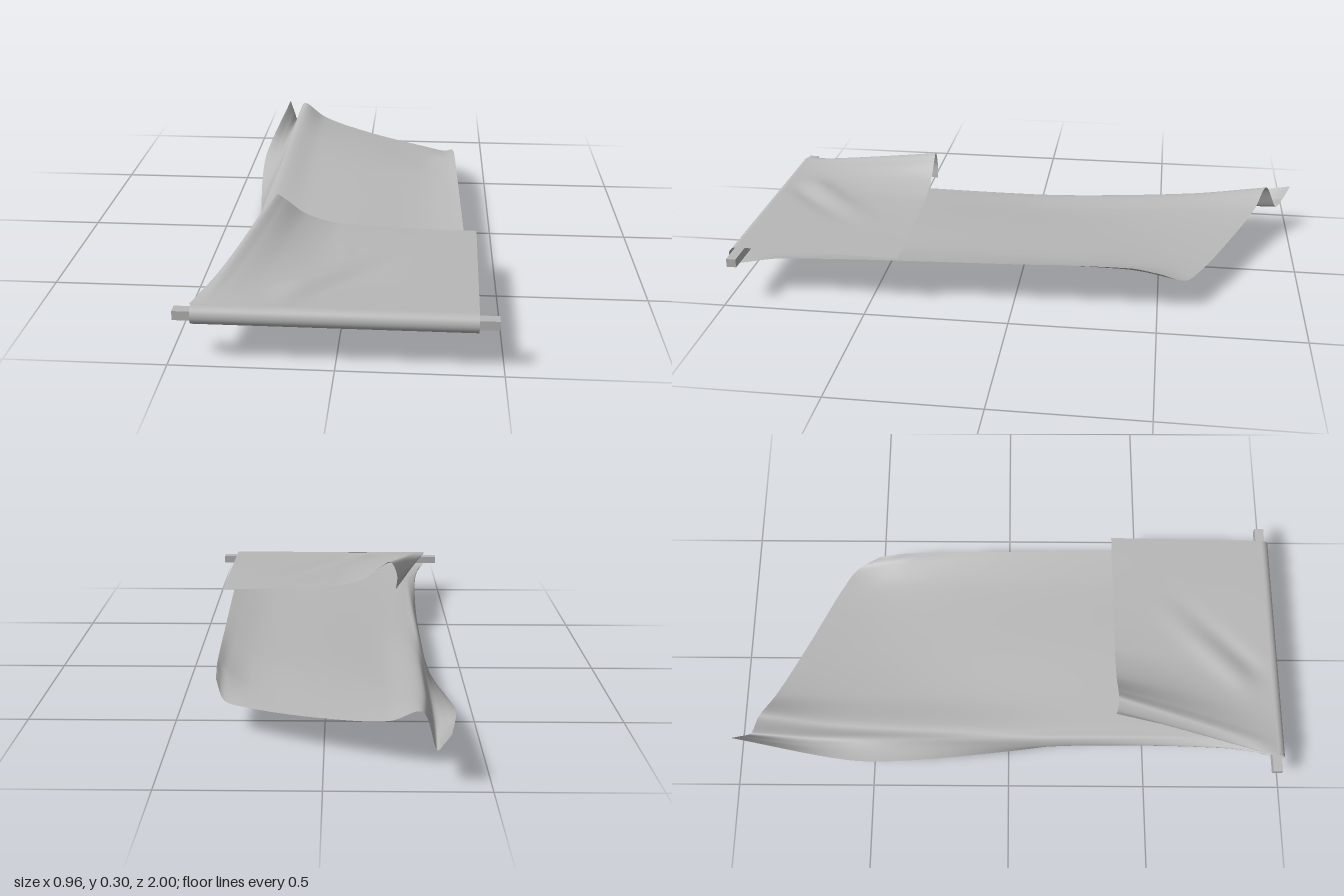
import * as THREE from 'three';

const cloth = new THREE.MeshStandardMaterial({ color: 0xb8b8b8, side: THREE.DoubleSide });
cloth.name = 'plainGrey';

// Smooth interpolation of [z, x, y] keys (z decreasing) at a given z
function sample(keys, z) {
  const n = keys.length;
  let i = 0;
  while (i < n - 2 && z < keys[i + 1][0]) i++;
  const a = keys[i], b = keys[i + 1], h = b[0] - a[0], t = (z - a[0]) / h;
  const slope = (j, c) => {
    const p = keys[Math.max(j - 1, 0)], q = keys[Math.min(j + 1, n - 1)];
    return (q[c] - p[c]) / (q[0] - p[0]);
  };
  const value = (c) => {
    const t2 = t * t, t3 = t2 * t;
    return (2 * t3 - 3 * t2 + 1) * a[c] + (t3 - 2 * t2 + t) * h * slope(i, c)
      + (3 * t2 - 2 * t3) * b[c] + (t3 - t2) * h * slope(i + 1, c);
  };
  return new THREE.Vector3(value(1), value(2), z);
}

// Sheet lofted across lengthwise columns, listed from the +x edge to the -x edge.
// Every column starts at the bar as [x, y] and continues with [z, x, y] keys.
function clothSheet(name, startY, columns, along, across, wrinkle) {
  const pos = [], index = [];
  const keyed = columns.map(([startX, ...keys]) => [[0.965, startX, startY], ...keys]);
  for (let i = 0; i <= along; i++) {
    const row = keyed.map((k) => sample(k, THREE.MathUtils.lerp(0.965, k[k.length - 1][0], i / along)));
    const curve = new THREE.CatmullRomCurve3(row, false, 'centripetal');
    for (let j = 0; j <= across; j++) {
      const p = curve.getPoint(j / across);
      pos.push(p.x, p.y + wrinkle(p.x, p.z), p.z);
      if (i < along && j < across) {
        const a = i * (across + 1) + j, b = a + across + 1;
        index.push(a, b, a + 1, b, b + 1, a + 1);
      }
    }
  }
  const g = new THREE.BufferGeometry();
  g.setAttribute('position', new THREE.Float32BufferAttribute(pos, 3));
  g.setIndex(index);
  g.computeVertexNormals();
  const mesh = new THREE.Mesh(g, cloth);
  mesh.name = name;
  return mesh;
}

export function createModel() {
  const group = new THREE.Group();
  group.name = 'clothOverBar';

  // Square bar
  const bar = new THREE.Mesh(new THREE.BoxGeometry(0.96, 0.03, 0.034), cloth);
  bar.name = 'bar';
  bar.position.set(0, 0.157, 0.965);
  group.add(bar);

  // Long lower sheet: slanted far end, left margin rolling from tucked under to flared up
  group.add(clothSheet('longSheet', 0.127, [
    [0.42, [0.8, 0.405, 0.148], [0, 0.38, 0.164], [-0.4, 0.368, 0.168], [-0.5, 0.362, 0.15]],
    [0.36, [0.4, 0.33, 0.145], [-0.4, 0.33, 0.145], [-0.59, 0.325, 0.11]],
    [0.25, [-0.2, 0.25, 0.135], [-0.64, 0.25, 0.108]],
    [0, [-0.2, 0, 0.125], [-0.76, 0, 0.125]],
    [-0.22, [0.4, -0.2, 0.117], [-0.2, -0.2, 0.117], [-0.855, -0.2, 0.16]],
    [-0.34, [0.4, -0.315, 0.113], [0, -0.32, 0.114], [-0.6, -0.318, 0.155], [-0.9, -0.295, 0.208]],
    [-0.39, [0.7, -0.35, 0.115], [0, -0.348, 0.102], [-0.7, -0.347, 0.1], [-0.95, -0.335, 0.11]],
    [-0.41, [0.8, -0.38, 0.108], [0.4, -0.361, 0.07], [0, -0.363, 0.055], [-0.7, -0.377, 0.1], [-0.975, -0.353, 0.142]],
    [-0.42, [0.8, -0.355, 0.09], [0.6, -0.32, 0.055], [0.4, -0.32, 0.026], [0, -0.368, 0],
      [-0.4, -0.418, 0.045], [-0.6, -0.425, 0.085], [-1, -0.372, 0.185]],
  ], 80, 84, () => 0));

  // Soft wrinkle running diagonally across the flap, strongest near the bar
  const wrinkle = (x, z) => {
    const s = (x + 0.18 + 0.96 - z) / 1.41, d = (x + 0.18 - 0.96 + z) / 1.41;
    const fade = THREE.MathUtils.smoothstep(s, 0, 0.15) * (1 - THREE.MathUtils.smoothstep(s, 0.15, 0.6));
    return fade * (0.011 * Math.exp(-(((d + 0.05) / 0.045) ** 2)) - 0.007 * Math.exp(-(((d - 0.02) / 0.035) ** 2)));
  };

  // Short flap folded back over the bar, with a raised, tucked left corner
  group.add(clothSheet('topFlap', 0.188, [
    [0.42, [0.39, 0.43, 0.187]],
    [0.25, [0.39, 0.2, 0.19]],
    [0.03, [0.65, 0.02, 0.188], [0.39, 0, 0.199]],
    [-0.15, [0.65, -0.1, 0.192], [0.39, -0.06, 0.206]],
    [-0.28, [0.68, -0.2, 0.207], [0.39, -0.15, 0.236]],
    [-0.36, [0.68, -0.28, 0.233], [0.39, -0.215, 0.285]],
    [-0.4, [0.68, -0.325, 0.244], [0.39, -0.25, 0.304]],
    [-0.43, [0.68, -0.35, 0.2], [0.39, -0.278, 0.25]],
    [-0.42, [0.68, -0.335, 0.166], [0.39, -0.275, 0.19]],
  ], 50, 90, wrinkle));

  // Rounded fold around the front of the bar
  const fold = new THREE.Mesh(
    new THREE.CylinderGeometry(0.0305, 0.0305, 0.845, 24, 1, true, -Math.PI / 2, Math.PI), cloth);
  fold.name = 'frontFold';
  fold.rotation.z = Math.PI / 2;
  fold.position.set(-0.0025, 0.1575, 0.965);
  group.add(fold);

  return group;
}
